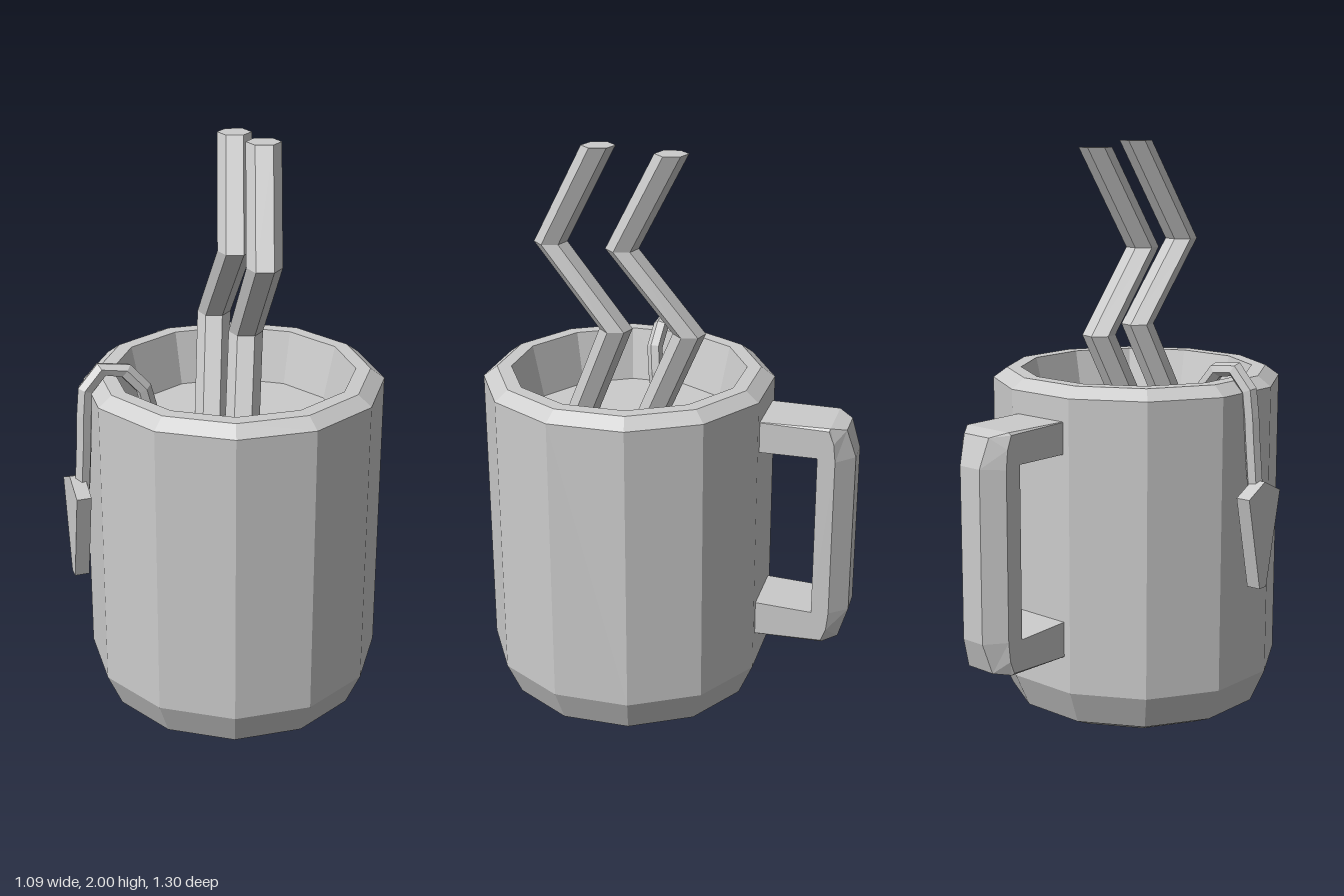
import * as THREE from 'three';

const material = new THREE.MeshStandardMaterial({ color: 0xcccccc, flatShading: true, side: THREE.DoubleSide });

function part(name, geometry) {
  const mesh = new THREE.Mesh(geometry, material);
  mesh.name = name;
  return mesh;
}

// Skin a list of equal-length rings; points run counter-clockwise about the travel direction.
function loft(rings) {
  const n = rings[0].length, last = (rings.length - 1) * n, index = [];
  for (let i = 0; i < rings.length - 1; i++) {
    for (let j = 0; j < n; j++) {
      const k = (j + 1) % n;
      const a = i * n + j, b = i * n + k, c = a + n, d = b + n;
      index.push(a, b, d, a, d, c);
    }
  }
  for (let j = 1; j < n - 1; j++) {
    index.push(0, j + 1, j, last, last + j, last + j + 1);
  }
  const geometry = new THREE.BufferGeometry();
  geometry.setAttribute('position', new THREE.Float32BufferAttribute(rings.flat(2), 3));
  geometry.setIndex(index);
  geometry.computeVertexNormals();
  return geometry;
}

// Zigzag steam wisp with level hexagonal sections
function steam(points) {
  return part('steam', loft(points.map(([x, y, z]) =>
    Array.from({ length: 6 }, (_, i) => {
      const a = i * Math.PI / 3;
      return [x + 0.057 * Math.cos(a), y, z - 0.057 * Math.sin(a)];
    }))));
}

// Handle section between an inner and an outer point (distance, height), with bevelled outer edges
function handleSection([iu, iy, ou, oy, bevel]) {
  const w = 0.105, t = 1 - 0.5 * bevel, top = w - 0.06 * bevel;
  const mu = iu + (ou - iu) * t, my = iy + (oy - iy) * t;
  return [[-w, iy, -iu], [-w, my, -mu], [-top, oy, -ou], [top, oy, -ou], [w, my, -mu], [w, iy, -iu]];
}

export function createModel() {
  const model = new THREE.Group();
  model.name = 'mug';

  // Cup, handle and drink share the cup axis
  const cup = new THREE.Group();
  cup.name = 'cup';
  cup.position.set(0.037, 0, 0.142);
  model.add(cup);

  const profile = [
    [0, 0], [0.37, 0], [0.455, 0.04], [0.508, 0.16], [0.508, 1.18],
    [0.46, 1.215], [0.41, 1.215], [0.365, 1.02],
  ].map(([r, y]) => new THREE.Vector2(r, y));
  cup.add(part('cupBody', new THREE.LatheGeometry(profile, 12)));

  const drink = part('drink', new THREE.CircleGeometry(0.367, 12));
  drink.rotation.x = -Math.PI / 2;
  drink.position.y = 1.03;
  cup.add(drink);

  // Handle leaves the middle of one wall facet
  const handle = part('handle', loft([
    [0.47, 0.99, 0.47, 1.1, 0.02],
    [0.69, 0.99, 0.73, 1.1, 0.15],
    [0.69, 0.99, 0.78, 1.085, 0.8],
    [0.69, 0.98, 0.812, 0.985, 1],
    [0.69, 0.41, 0.812, 0.4, 1],
    [0.69, 0.4, 0.78, 0.295, 0.8],
    [0.69, 0.4, 0.73, 0.285, 0.15],
    [0.47, 0.41, 0.47, 0.285, 0.02],
  ].map(handleSection)));
  handle.rotation.y = Math.PI / 12;
  cup.add(handle);

  // Steam wisps
  model.add(steam([[0.06, 1.02, 0.325], [0.075, 1.36, 0.17], [0.127, 1.65, 0.395], [0.127, 2, 0.195]]));
  model.add(steam([[-0.04, 1.02, 0.095], [-0.03, 1.35, -0.06], [0.038, 1.635, 0.165], [0.038, 1.98, -0.03]]));

  // Tea bag string over the rim
  const path = new THREE.CatmullRomCurve3([
    [-0.24, 1.01, 0.19], [-0.265, 1.18, 0.22], [-0.37, 1.265, 0.235],
    [-0.45, 1.2, 0.26], [-0.462, 1.05, 0.27], [-0.475, 0.84, 0.28],
  ].map(p => new THREE.Vector3(...p)));
  model.add(part('teaString', new THREE.TubeGeometry(path, 9, 0.028, 6)));

  // Tapered paper tag
  const outline = new THREE.Shape(
    [[-0.02, 0.515], [0.02, 0.515], [0.095, 0.84], [0, 0.885], [-0.095, 0.84]]
      .map(p => new THREE.Vector2(...p)));
  const tagGeometry = new THREE.ExtrudeGeometry(outline, { depth: 0.05, bevelEnabled: false });
  tagGeometry.translate(0, 0, -0.025);
  const tag = part('tag', tagGeometry);
  tag.rotation.y = -1.245;
  tag.position.set(-0.493, 0, 0.28);
  model.add(tag);

  return model;
}
